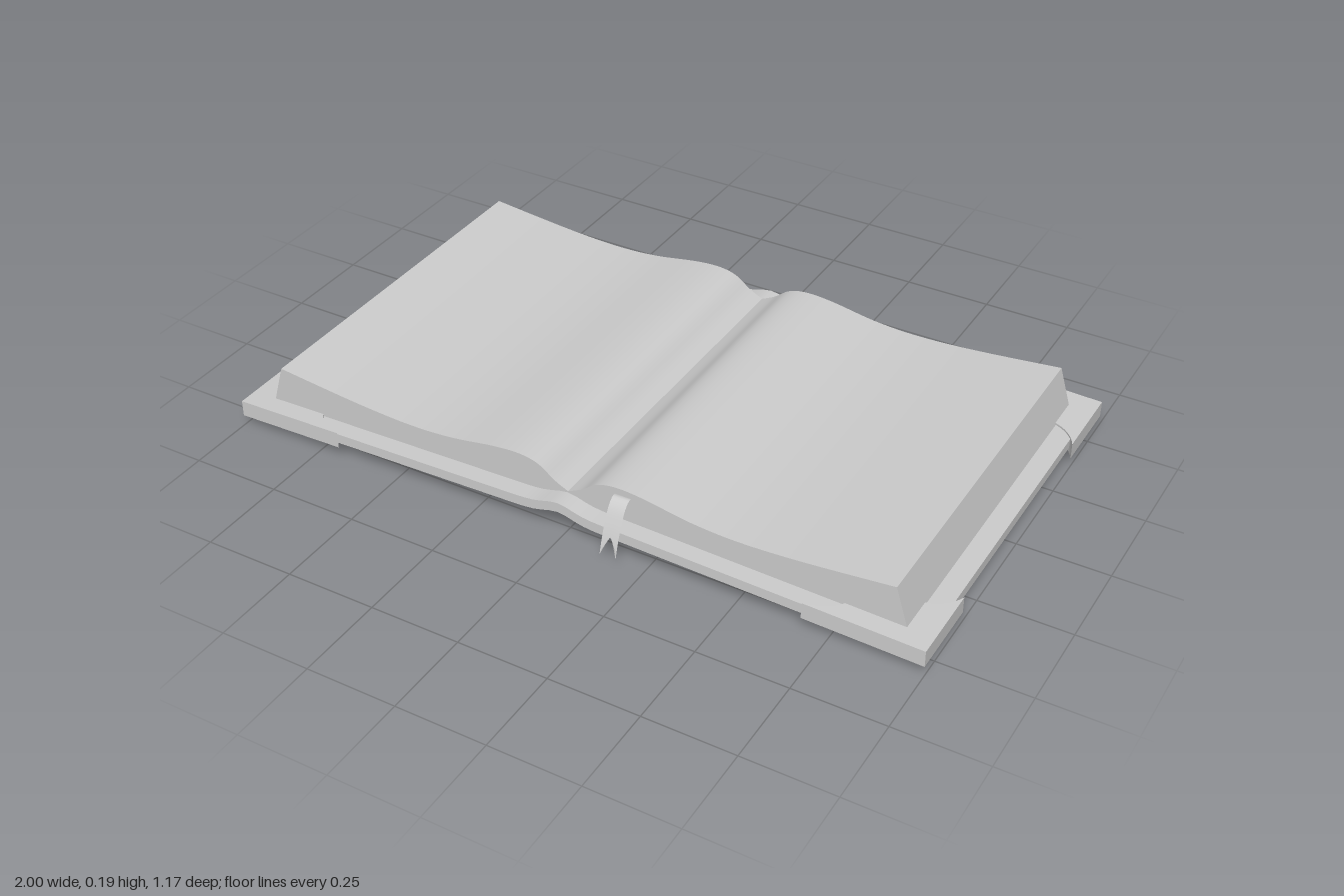
import * as THREE from 'three';
import { toCreasedNormals } from 'three/addons/utils/BufferGeometryUtils.js';

const material = new THREE.MeshStandardMaterial({ color: 0xcccccc });
const thin = new THREE.MeshStandardMaterial({ color: 0xcccccc, side: THREE.DoubleSide });

// Height of the cover's underside and inner face across its width
const under = x => 0.043 + 0.027 * (1 - Math.abs(x) / 0.985) + 0.018 * Math.exp(-((x / 0.055) ** 2));
const inner = x => under(x) + 0.028;

function sample(fn, from, to, n) {
  return Array.from({ length: n + 1 }, (_, i) => {
    const x = from + (to - from) * i / n;
    return new THREE.Vector2(x, fn(x));
  });
}

// Extrude an x-y section from z0 to z1
function slab(points, z0, z1) {
  const geo = new THREE.ExtrudeGeometry(new THREE.Shape(points), { depth: z1 - z0, bevelEnabled: false });
  geo.translate(0, 0, z0);
  return toCreasedNormals(geo, 0.5);
}

// Move every vertex by a rule
function reshape(geo, rule) {
  const p = geo.attributes.position, v = new THREE.Vector3();
  for (let i = 0; i < p.count; i++) {
    rule(v.fromBufferAttribute(p, i));
    p.setXYZ(i, v.x, v.y, v.z);
  }
  geo.computeVertexNormals();
  return geo;
}

// Half of the page block, curling down into the gutter
function pages(side) {
  const curl = new THREE.SplineCurve([
    [0, 0.12], [0.04, 0.14], [0.085, 0.172], [0.14, 0.184], [0.22, 0.179],
    [0.35, 0.158], [0.48, 0.151], [0.65, 0.16], [0.895, 0.185],
  ].map(([x, y]) => new THREE.Vector2(x, y))).getPoints(40);
  const bottom = sample(x => inner(x) - 0.002, 0.93, 0, 40);
  const points = [...curl, ...bottom].map(p => new THREE.Vector2(p.x * side, p.y));
  return slab(points, -0.528, 0.507);
}

// Scalloped corner guard wrapping the cover
function corner(sx, sz) {
  const X = x => x * sx, Z = z => -0.0125 + z * sz;
  const s = new THREE.Shape();
  s.moveTo(X(1), Z(0.5735));
  s.lineTo(X(0.68), Z(0.5735));
  s.quadraticCurveTo(X(0.75), Z(0.555), X(0.77), Z(0.515));
  s.quadraticCurveTo(X(0.81), Z(0.53), X(0.84), Z(0.48));
  s.quadraticCurveTo(X(0.9), Z(0.47), X(0.89), Z(0.425));
  s.quadraticCurveTo(X(0.97), Z(0.42), X(1), Z(0.353));
  s.closePath();
  const geo = new THREE.ExtrudeGeometry(s, { depth: 0.046, bevelEnabled: false, curveSegments: 8 });
  geo.rotateX(Math.PI / 2);
  reshape(geo, v => { v.y += 0.076 + 0.03 * (1 - Math.abs(v.x)); });
  return toCreasedNormals(geo, 0.5);
}

// Wavy raised band across the underside of the spine
function spineBand(zc) {
  const geo = new THREE.PlaneGeometry(2, 2, 64, 12);
  geo.rotateX(Math.PI / 2);
  return reshape(geo, v => {
    const u = v.x, side = v.z;
    const end = Math.pow(Math.max(0, 1 - u ** 6), 0.5);
    const width = (0.056 + 0.01 * Math.cos(u * Math.PI * 3) + 0.006 * Math.cos(u * Math.PI * 8)) * end;
    const height = (0.017 + 0.006 * Math.cos(u * Math.PI * 3 + Math.PI)) * end;
    v.x = u * 0.32;
    v.z = zc + side * width;
    v.y = under(v.x) + 0.003 - (height + 0.003) * Math.pow(1 - side * side, 0.6);
  });
}

// Pointed, domed boss with a raised rim under one cover
function boss() {
  const profile = [
    [0, 0], [0.15, 0.003], [0.35, 0.012], [0.55, 0.024], [0.68, 0.033],
    [0.72, 0.035], [0.76, 0.031], [0.86, 0.033], [0.97, 0.039], [1, 0.043], [1, 0.062],
  ].map(([r, y]) => new THREE.Vector2(r, y));
  const geo = reshape(new THREE.LatheGeometry(profile, 64), v => {
    const r = Math.hypot(v.x, v.z) || 1;
    v.x = -0.557 + 0.155 * v.x * Math.pow(Math.abs(v.x / r), 0.6);
    v.z *= 0.215;
  });
  return toCreasedNormals(geo, 0.7);
}

// Strip of ribbon following a side-view path of [z, y] points
function ribbon(path, notch) {
  const curve = new THREE.CatmullRomCurve3(path.map(([z, y]) => new THREE.Vector3(0, y, z)));
  const geo = new THREE.PlaneGeometry(0.046, 1, 2, 28);
  return reshape(geo, v => {
    let t = Math.min(1, Math.max(0, 0.5 - v.y));
    if (Math.abs(v.x) < 0.001) t *= 1 - notch * t ** 4;
    const p = curve.getPointAt(t);
    v.set(0.161 + v.x, p.y, p.z);
  });
}

export function createModel() {
  const group = new THREE.Group();
  const add = (name, geo, mat = material) => {
    const mesh = new THREE.Mesh(geo, mat);
    mesh.name = name;
    group.add(mesh);
  };

  // Cover boards and spine in one curved sheet
  add('cover', slab([...sample(under, -0.985, 0.985, 80), ...sample(inner, 0.985, -0.985, 80)], -0.585, 0.557));

  for (const side of [-1, 1]) {
    add(side > 0 ? 'leftPages' : 'rightPages', pages(side));
    for (const end of [-1, 1]) add('cornerGuard', corner(side, end));
  }

  // Underside ornaments
  for (const z of [-0.265, -0.005, 0.255]) add('spineBand', spineBand(z), thin);
  add('coverBoss', boss());

  // Bookmark: forked tail at the front, small loop at the back
  add('bookmarkTail', ribbon([[0.5, 0.163], [0.515, 0.167], [0.535, 0.152], [0.558, 0.11], [0.575, 0.065], [0.585, 0.03]], 0.35), thin);
  add('bookmarkLoop', ribbon([[-0.52, 0.165], [-0.538, 0.165], [-0.552, 0.148], [-0.546, 0.122], [-0.52, 0.105]], 0), thin);
  return group;
}
